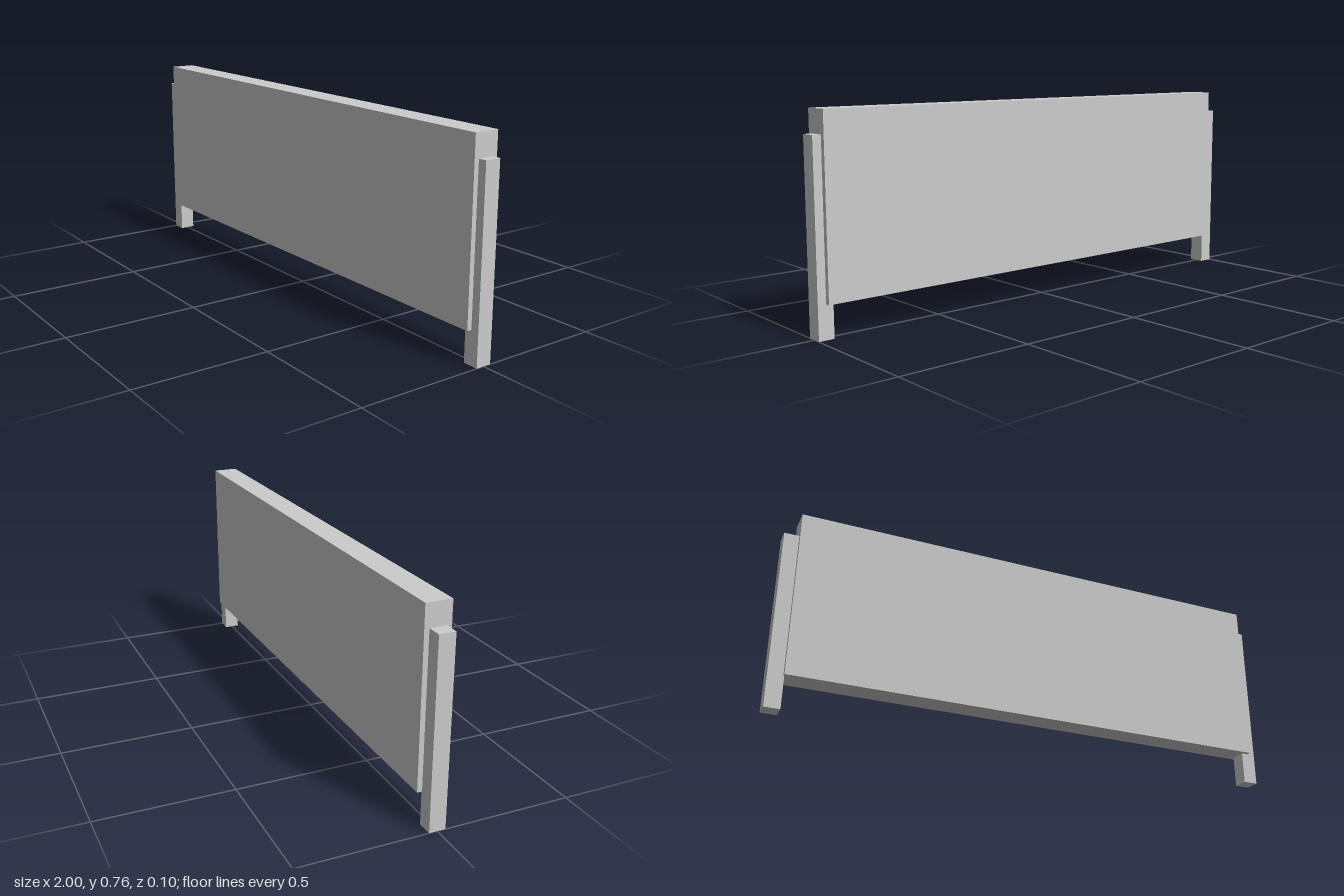
import * as THREE from 'three';

export function createModel() {
  const group = new THREE.Group();
  const material = new THREE.MeshStandardMaterial({ color: 0xcccccc, flatShading: true });

  // Box given by its x range, y range and depth, centred on z = 0
  function addBox(name, x0, x1, y0, y1, depth) {
    const mesh = new THREE.Mesh(new THREE.BoxGeometry(x1 - x0, y1 - y0, depth), material);
    mesh.position.set((x0 + x1) / 2, (y0 + y1) / 2, 0);
    mesh.name = name;
    group.add(mesh);
  }

  // Thick board, set slightly off centre between the posts
  addBox('panel', -0.945, 0.969, 0.122, 0.764, 0.096);

  // Square posts at both ends
  const postWidth = 0.058;
  addBox('rightPost', -1, -1 + postWidth, 0, 0.681, 0.06);
  addBox('leftPost', 1 - postWidth, 1, 0, 0.681, 0.06);

  return group;
}
